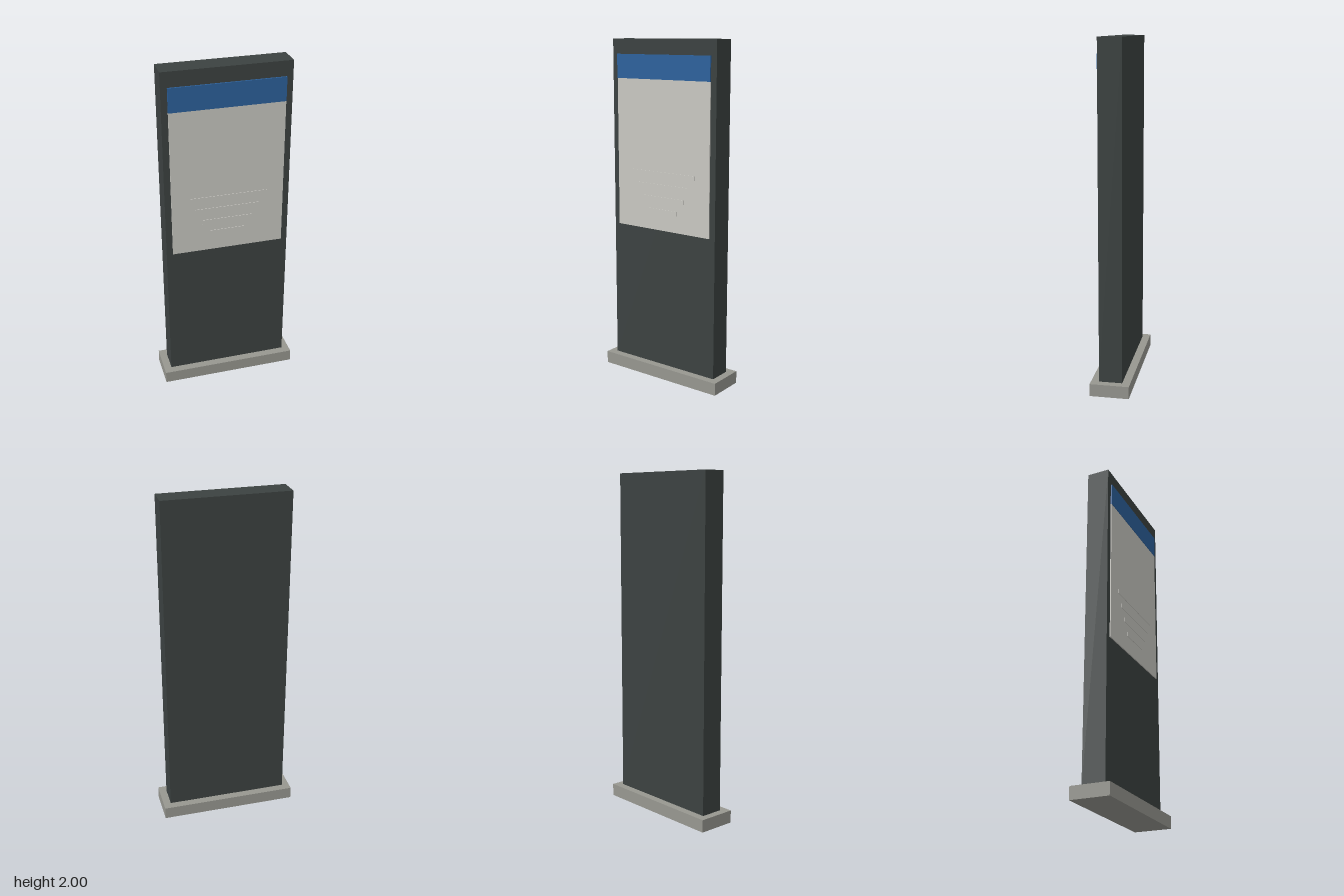
import * as THREE from 'three';

const material = (name, color) => {
  const m = new THREE.MeshStandardMaterial({ color });
  m.name = name;
  return m;
};

export function createModel() {
  const group = new THREE.Group();
  group.name = 'informationPillar';

  const charcoal = material('charcoal', 0x3c4241);
  const stone = material('stone grey', 0x979790);
  const blue = material('blue', 0x2c619c);
  const pale = material('pale grey', 0xc9c8c2);

  // Box centred on x, spanning y0..y1 and z0..z1
  const block = (name, mat, width, y0, y1, z0, z1) => {
    const mesh = new THREE.Mesh(new THREE.BoxGeometry(width, y1 - y0, z1 - z0), mat);
    mesh.position.set(0, (y0 + y1) / 2, (z0 + z1) / 2);
    mesh.name = name;
    group.add(mesh);
  };

  // Plinth and upright slab
  block('base', stone, 0.816, 0, 0.073, -0.113, 0.113);
  block('slab', charcoal, 0.728, 0.073, 2, -0.067, 0.067);

  // Front display with header band
  block('displayPanel', pale, 0.655, 0.905, 1.775, 0.067, 0.073);
  block('headerBand', blue, 0.655, 1.775, 1.913, 0.067, 0.076);

  // Raised lines, shorter towards the bottom
  [0.46, 0.38, 0.3, 0.21].forEach((width, i) => {
    const top = 1.25 - i * 0.073;
    block('raisedLine' + (i + 1), pale, width, top - 0.026, top, 0.073, 0.076);
  });

  return group;
}
